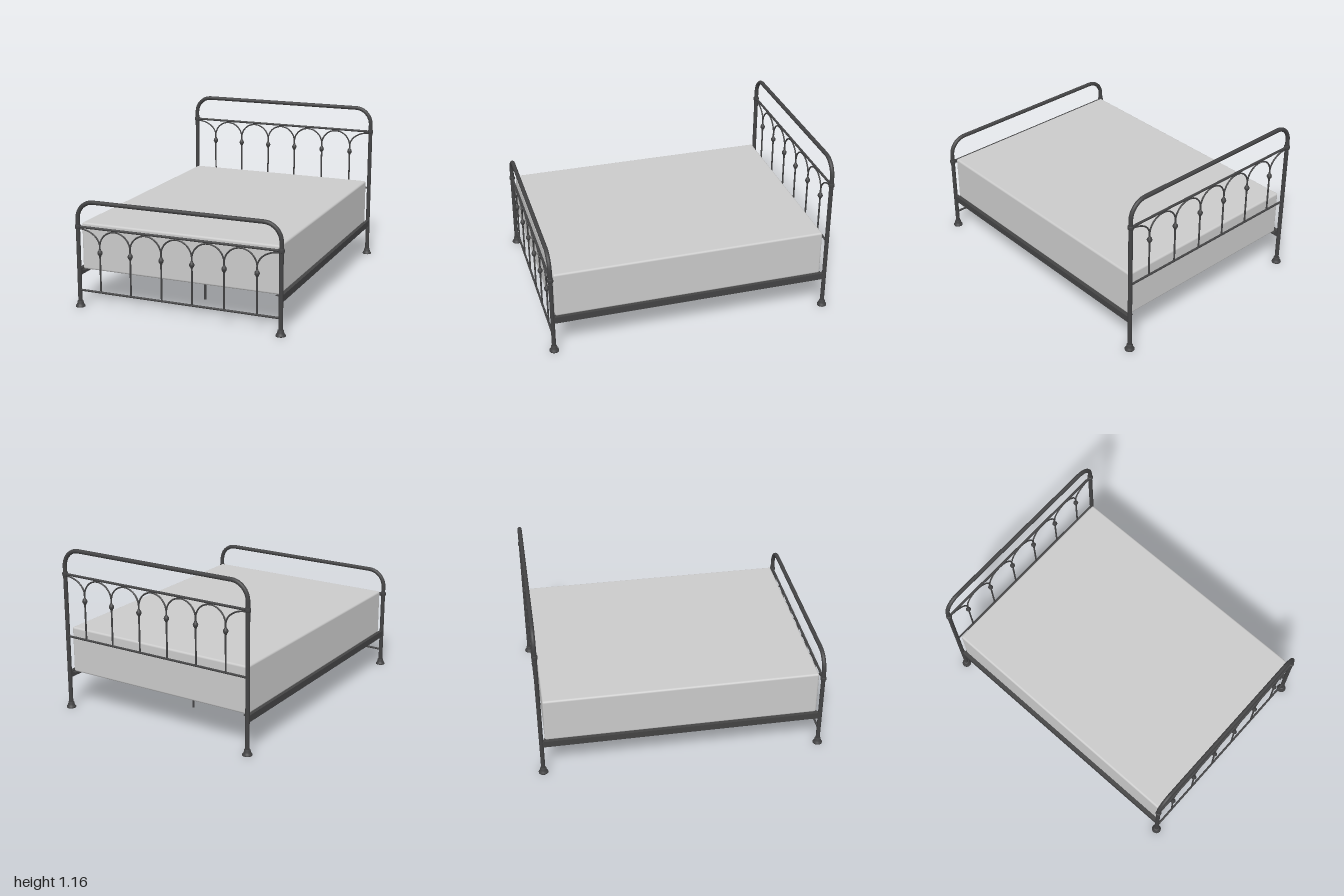
import * as THREE from 'three';
import { RoundedBoxGeometry } from 'three/addons/geometries/RoundedBoxGeometry.js';

const metal = new THREE.MeshStandardMaterial({ name: 'dark metal', color: 0x434344 });
const fabric = new THREE.MeshStandardMaterial({ name: 'mattress grey', color: 0xcacaca });

const POST_X = 0.724, END_Z = 0.967, TUBE = 0.0145, BEND = 0.12;
const SPINDLES = [-0.562, -0.336, -0.11, 0.11, 0.336, 0.562];

function add(parent, name, geometry, x = 0, y = 0, z = 0, material = metal) {
  const mesh = new THREE.Mesh(geometry, material);
  mesh.name = name;
  mesh.position.set(x, y, z);
  parent.add(mesh);
  return mesh;
}

function upright(parent, name, r, x, y0, y1, z = 0) {
  return add(parent, name, new THREE.CylinderGeometry(r, r, y1 - y0, 16), x, (y0 + y1) / 2, z);
}

function crossTube(parent, name, r, length, y) {
  add(parent, name, new THREE.CylinderGeometry(r, r, length, 16), 0, y).rotation.z = Math.PI / 2;
}

function lathe(points) {
  return new THREE.LatheGeometry(points.map(([r, y]) => new THREE.Vector2(r, y)), 20);
}

// Quarter-ellipse wire falling from its crown to a spindle
function archWire(parent, crownX, spindleX, crownY, rise) {
  const points = [];
  for (let i = 0; i <= 12; i++) {
    const a = (i / 12) * Math.PI / 2;
    points.push(new THREE.Vector3(
      crownX + (spindleX - crownX) * Math.sin(a), crownY - rise * (1 - Math.cos(a)), 0));
  }
  add(parent, 'archWire', new THREE.TubeGeometry(new THREE.CatmullRomCurve3(points), 20, 0.0055, 8));
}

// Head or foot end: bent tube frame with rails, spindles and arches
function endFrame(name, z, topY, railY, lowY) {
  const g = new THREE.Group();
  g.name = name;
  g.position.z = z;
  const bendY = topY - BEND;

  crossTube(g, 'topTube', TUBE, 2 * (POST_X - BEND), topY);
  for (const s of [-1, 1]) {
    const x = s * POST_X;
    upright(g, 'post', TUBE, x, 0.01, bendY);
    const bend = add(g, 'bend', new THREE.TorusGeometry(BEND, TUBE, 16, 16, Math.PI / 2),
      s * (POST_X - BEND), bendY);
    if (s < 0) bend.rotation.z = Math.PI / 2;
    add(g, 'collar', lathe([[0.012, -0.013], [0.018, -0.013], [0.02, -0.009], [0.02, 0.009],
      [0.018, 0.013], [0.012, 0.013]]), x, railY);
    add(g, 'foot', lathe([[0, 0], [0.033, 0], [0.033, 0.006], [0.027, 0.014], [0.022, 0.025],
      [0.021, 0.037], [0.018, 0.041], [0.012, 0.041]]), x);
  }
  crossTube(g, 'upperRail', 0.0085, 2 * POST_X, railY);
  crossTube(g, 'lowerRail', 0.0075, 2 * POST_X, lowY);

  const crownY = railY - 0.013, rise = 0.112, knobY = railY - 0.166;
  SPINDLES.forEach((x, i) => {
    upright(g, 'spindle', 0.006, x, lowY, crownY - rise + 0.004);
    add(g, 'knob', lathe([[0.004, -0.025], [0.008, -0.023], [0.009, -0.018], [0.015, -0.01],
      [0.018, 0], [0.015, 0.01], [0.009, 0.018], [0.008, 0.023], [0.004, 0.025]]), x, knobY);
    const left = i > 0 ? (x + SPINDLES[i - 1]) / 2 : -0.712;
    const right = i < SPINDLES.length - 1 ? (x + SPINDLES[i + 1]) / 2 : 0.712;
    archWire(g, left, x, crownY, rise);
    archWire(g, right, x, crownY, rise);
  });
  return g;
}

export function createModel() {
  const bed = new THREE.Group();
  bed.name = 'bed';

  bed.add(endFrame('headboard', -END_Z, 1.142, 0.967, 0.525));
  bed.add(endFrame('footboard', END_Z, 0.737, 0.561, 0.118));

  add(bed, 'mattress', new RoundedBoxGeometry(1.416, 0.325, 1.885, 3, 0.014), 0, 0.4235, 0.002, fabric);

  // Angle-iron side rails
  for (const s of [-1, 1]) {
    add(bed, 'sideRail', new THREE.BoxGeometry(0.024, 0.046, 2 * END_Z), s * 0.723, 0.247);
    add(bed, 'railLedge', new THREE.BoxGeometry(0.03, 0.005, 1.9), s * 0.697, 0.2575);
  }

  // Cross bars under the mattress, each with its support legs
  const bars = [[-0.515, [0]], [0, [-0.385, 0.385]], [0.515, [0]]];
  for (const [z, legs] of bars) {
    add(bed, 'crossBar', new THREE.BoxGeometry(1.43, 0.023, 0.03), 0, 0.249, z);
    for (const x of legs) {
      upright(bed, 'supportLeg', 0.008, x, 0, 0.24, z);
      add(bed, 'legPlate', new THREE.BoxGeometry(0.058, 0.006, 0.026), x, 0.235, z);
    }
  }
  return bed;
}
